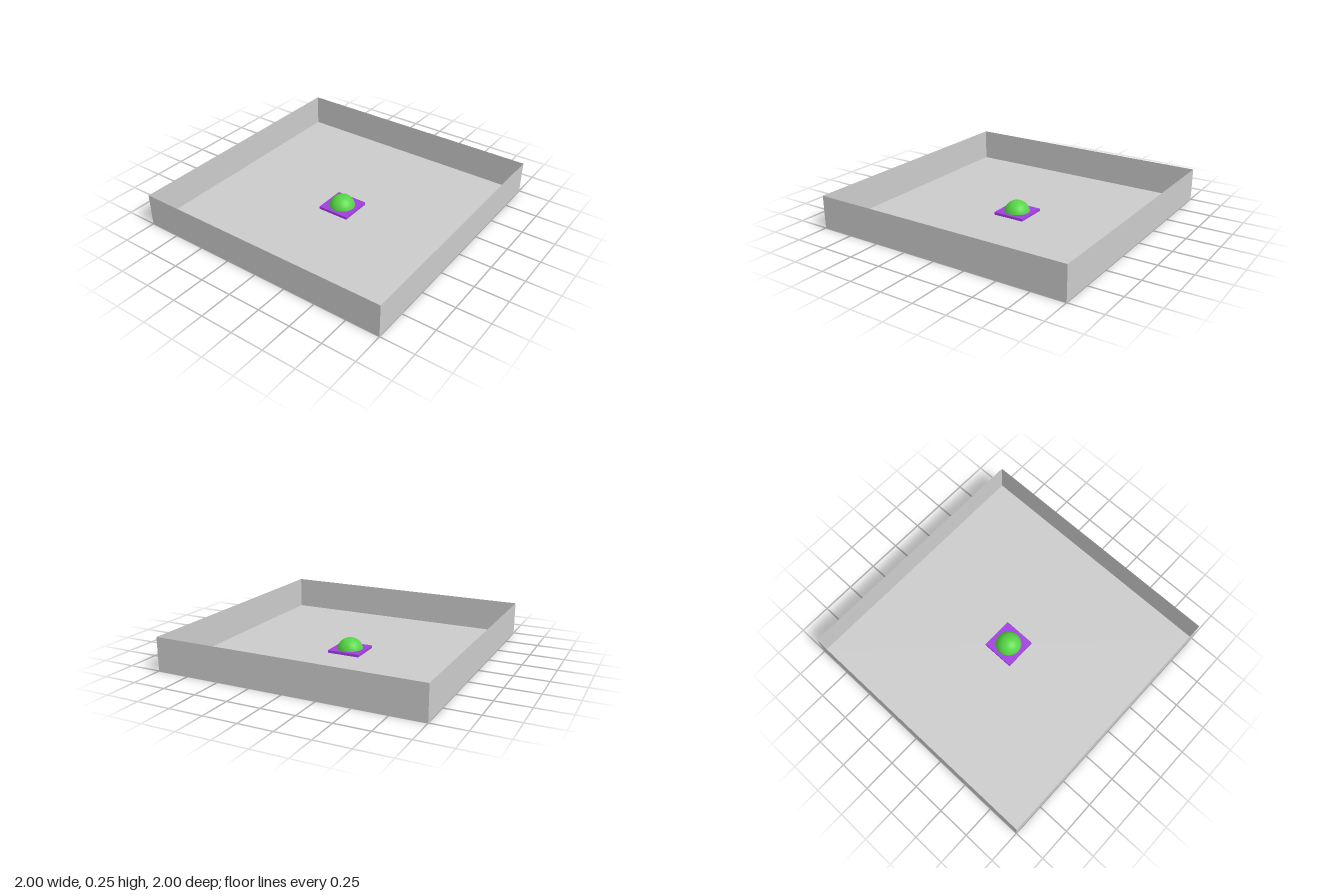
import * as THREE from 'three';

const SIZE = 2, WALL_H = 0.25;

export function createModel() {
  const model = new THREE.Group();
  model.name = 'walledArena';

  const grey = new THREE.MeshStandardMaterial({ color: 0xcccccc, side: THREE.DoubleSide });
  const purple = new THREE.MeshStandardMaterial({ color: 0xa040e0 });
  const green = new THREE.MeshStandardMaterial({ color: 0x55d544 });

  const add = (name, geometry, material) => {
    const mesh = new THREE.Mesh(geometry, material);
    mesh.name = name;
    model.add(mesh);
    return mesh;
  };

  // Flat floor
  add('floor', new THREE.PlaneGeometry(SIZE, SIZE).rotateX(-Math.PI / 2), grey);

  // Four paper-thin walls, turned around the centre
  ['frontWall', 'leftWall', 'backWall', 'rightWall'].forEach((name, i) => {
    const wall = new THREE.PlaneGeometry(SIZE, WALL_H).translate(0, WALL_H / 2, SIZE / 2);
    add(name, wall.rotateY(i * Math.PI / 2), grey);
  });

  // Square plate lying on the floor
  add('plate', new THREE.BoxGeometry(0.25, 0.02, 0.25).translate(0, 0.011, 0), purple);

  // Smooth dome rising through the plate
  add('dome', new THREE.SphereGeometry(0.1, 32, 16, 0, Math.PI * 2, 0, Math.PI / 2).translate(0, 0.002, 0), green);

  return model;
}
